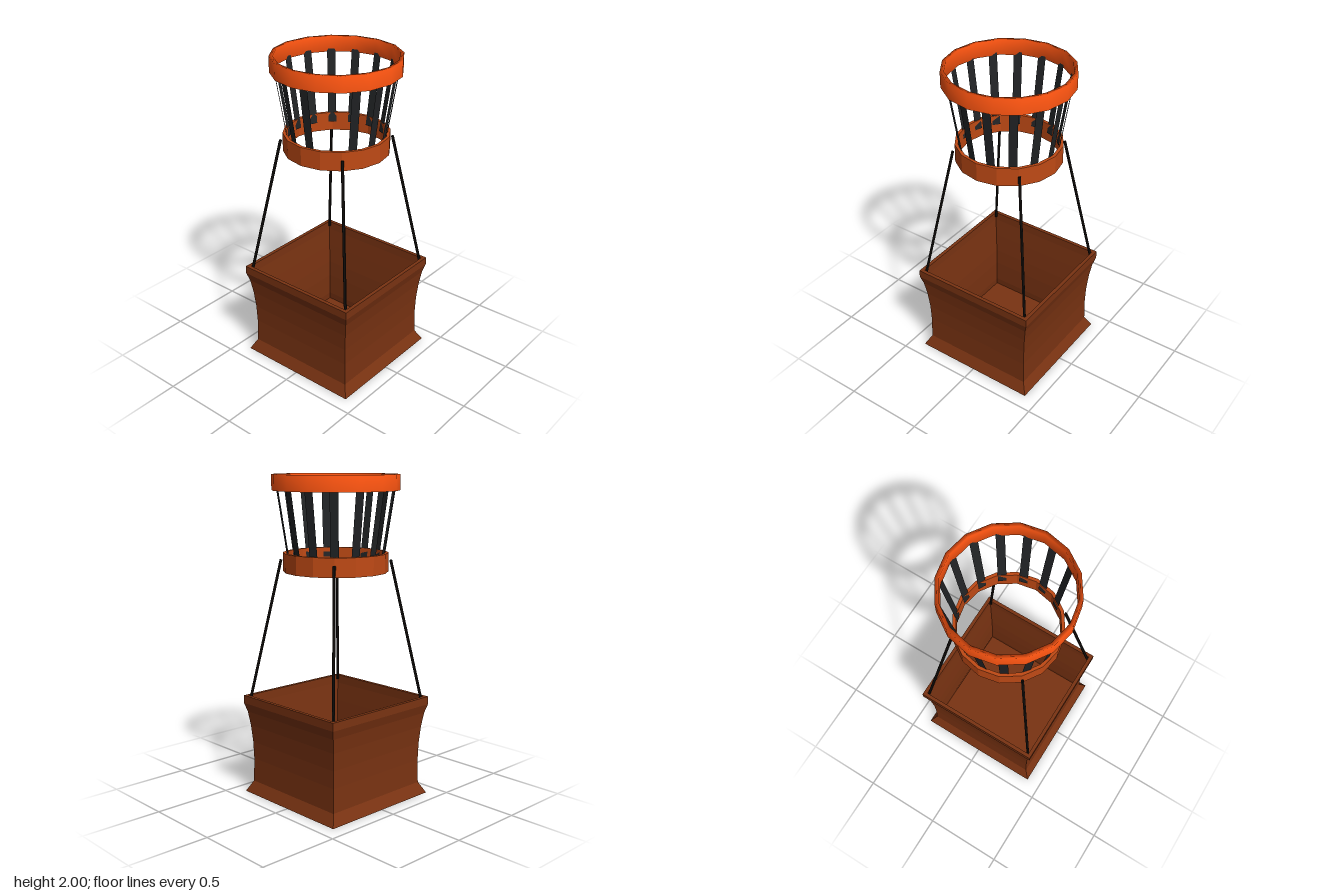
import * as THREE from 'three';

const material = (color, flatShading = true) =>
  new THREE.MeshStandardMaterial({ color, flatShading, side: THREE.DoubleSide });
const lathe = (points, sides) =>
  new THREE.LatheGeometry(points.map(([r, y]) => new THREE.Vector2(r, y)), sides);

export function createModel() {
  const model = new THREE.Group();
  const add = (name, geometry, mat, parent = model) => {
    const mesh = new THREE.Mesh(geometry, mat);
    mesh.name = name;
    parent.add(mesh);
    return mesh;
  };

  // Square basket: half widths and heights, outside going up, inside going down
  const profile = [
    [0, 0], [0.408, 0], [0.37, 0.07], [0.367, 0.22], [0.37, 0.33], [0.379, 0.44],
    [0.392, 0.53], [0.408, 0.585], [0.408, 0.635], [0.385, 0.635], [0.384, 0.58],
    [0.374, 0.46], [0.365, 0.33], [0.362, 0.22], [0.364, 0.07], [0.37, 0.02], [0, 0.02],
  ];
  const basket = lathe(profile.map(([w, y]) => [w * Math.SQRT2, y]), 4);
  basket.rotateY(Math.PI / 4);
  add('basket', basket, material(0x7a3312));

  // Sixteen-sided hoops of the burner cage
  const hoop = (outer, inner, y0, y1) =>
    lathe([[outer, y0], [outer, y1], [inner, y1], [inner, y0], [outer, y0]], 16);
  add('upperHoop', hoop(0.385, 0.362, 1.905, 2), material(0xff5511, false));
  add('lowerHoop', hoop(0.32, 0.3, 1.42, 1.535), material(0xc04a15));

  // Thin slats leaning outwards between the hoops, with one place left empty
  const slats = new THREE.Group();
  slats.name = 'slats';
  model.add(slats);
  const slat = new THREE.PlaneGeometry(0.05, 0.45);
  slat.rotateX(Math.atan(0.155));
  slat.translate(0, 1.7, 0.324);
  const slatMaterial = material(0x222426);
  for (let i = 0; i < 14; i++) {
    add('slat', slat, slatMaterial, slats).rotation.y =
      THREE.MathUtils.degToRad(9 - i * 24);
  }

  // Ropes from the basket corners to the lower hoop
  const ropeMaterial = material(0x15110e);
  for (const sx of [1, -1]) for (const sz of [1, -1]) {
    const path = new THREE.LineCurve3(
      new THREE.Vector3(sx * 0.378, 0.61, sz * 0.378),
      new THREE.Vector3(sx * 0.235, 1.49, sz * 0.235));
    add('rope', new THREE.TubeGeometry(path, 1, 0.009, 6), ropeMaterial);
  }
  return model;
}
